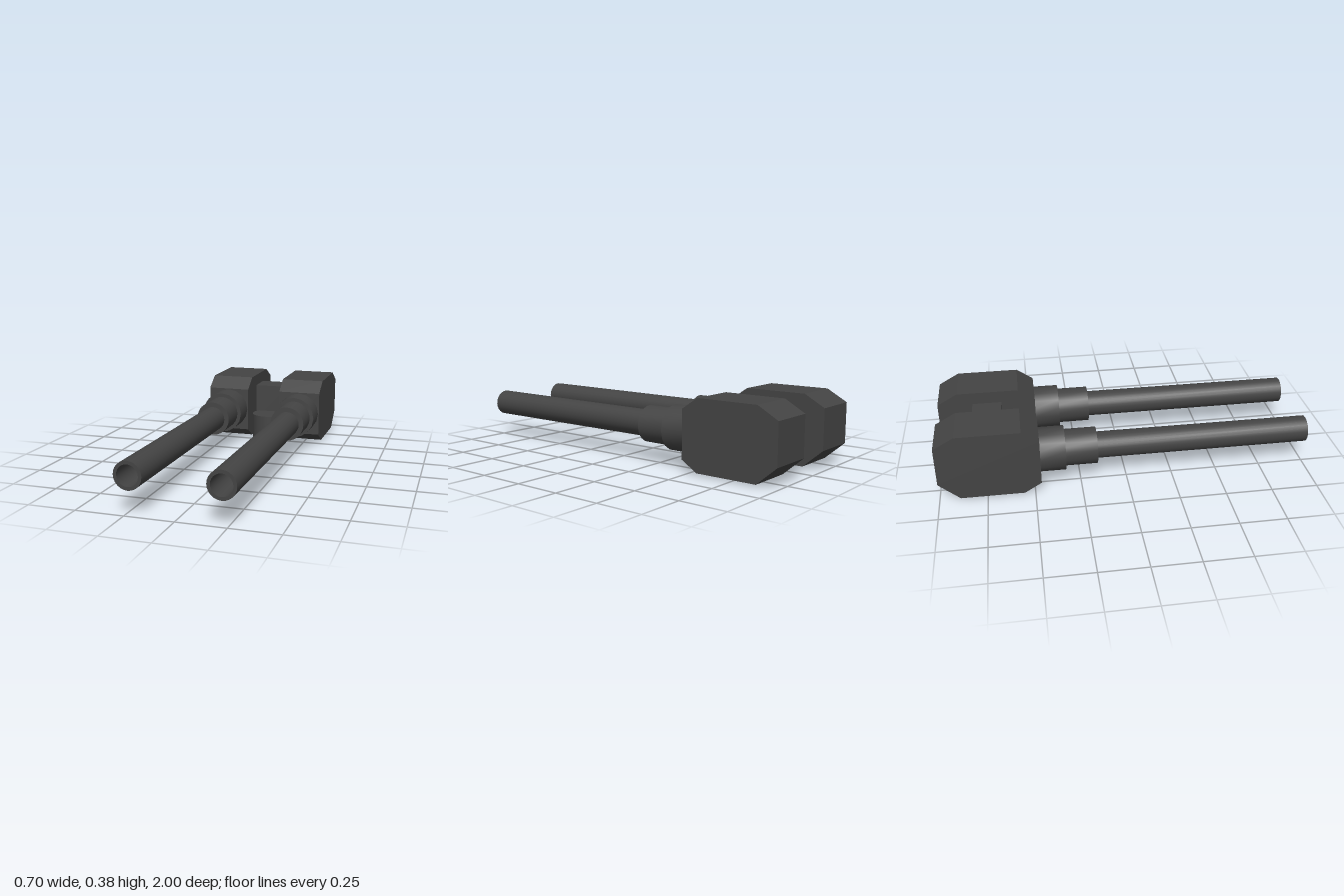
import * as THREE from 'three';
import { toCreasedNormals } from 'three/addons/utils/BufferGeometryUtils.js';

const gunmetal = new THREE.MeshStandardMaterial({ color: 0x444444 });
gunmetal.name = 'gunmetal';

function part(name, geometry) {
  const mesh = new THREE.Mesh(geometry, gunmetal);
  mesh.name = name;
  return mesh;
}

// Chamfered box: side outline in (z, y), extruded across x and centred
function housingGeometry(width) {
  const outline = [
    [-0.465, 0.065], [-0.465, 0.32], [-0.555, 0.382], [-0.89, 0.382],
    [-1, 0.32], [-1, 0.105], [-0.89, 0.01], [-0.555, 0.01],
  ];
  const shape = new THREE.Shape(outline.map(([z, y]) => new THREE.Vector2(-z, y)));
  const geometry = new THREE.ExtrudeGeometry(shape, { depth: width, bevelEnabled: false });
  geometry.translate(0, 0, -width / 2);
  geometry.rotateY(Math.PI / 2); // shape x becomes -z
  return geometry;
}

// Turned part along z from [radius, z] pairs
function turned(profile, sides) {
  const geometry = new THREE.LatheGeometry(profile.map(([r, z]) => new THREE.Vector2(r, z)), sides);
  geometry.rotateX(Math.PI / 2);
  return toCreasedNormals(geometry, 0.7);
}

// One gun: housing, two stepped collars and a hollow barrel
function createGun(name, x) {
  const gun = new THREE.Group();
  gun.name = name;
  gun.position.x = x;
  gun.add(part('housing', housingGeometry(0.25)));

  const turnedParts = [
    part('rearCollar', turned([[0, -0.48], [0.12, -0.48], [0.12, -0.33], [0, -0.33]], 16)),
    part('frontCollar', turned([[0, -0.34], [0.098, -0.34], [0.098, -0.16], [0, -0.16]], 24)),
    part('barrel', turned([[0, -0.17], [0.071, -0.17], [0.071, 1], [0.054, 1], [0.054, 0.6], [0, 0.6]], 24)),
  ];
  for (const mesh of turnedParts) {
    mesh.position.y = 0.195;
    gun.add(mesh);
  }
  return gun;
}

export function createModel() {
  const model = new THREE.Group();
  model.name = 'twinGunMount';

  model.add(createGun('leftGun', 0.225), createGun('rightGun', -0.225));

  // Block joining the two housings
  const bridge = part('bridge', new THREE.BoxGeometry(0.21, 0.235, 0.16));
  bridge.position.set(0, 0.1975, -0.73);
  model.add(bridge);

  // Pivot post under the bridge
  const pivot = part('pivot', new THREE.CylinderGeometry(0.104, 0.104, 0.15, 32));
  pivot.position.set(0.003, 0.075, -0.588);
  model.add(pivot);

  return model;
}
